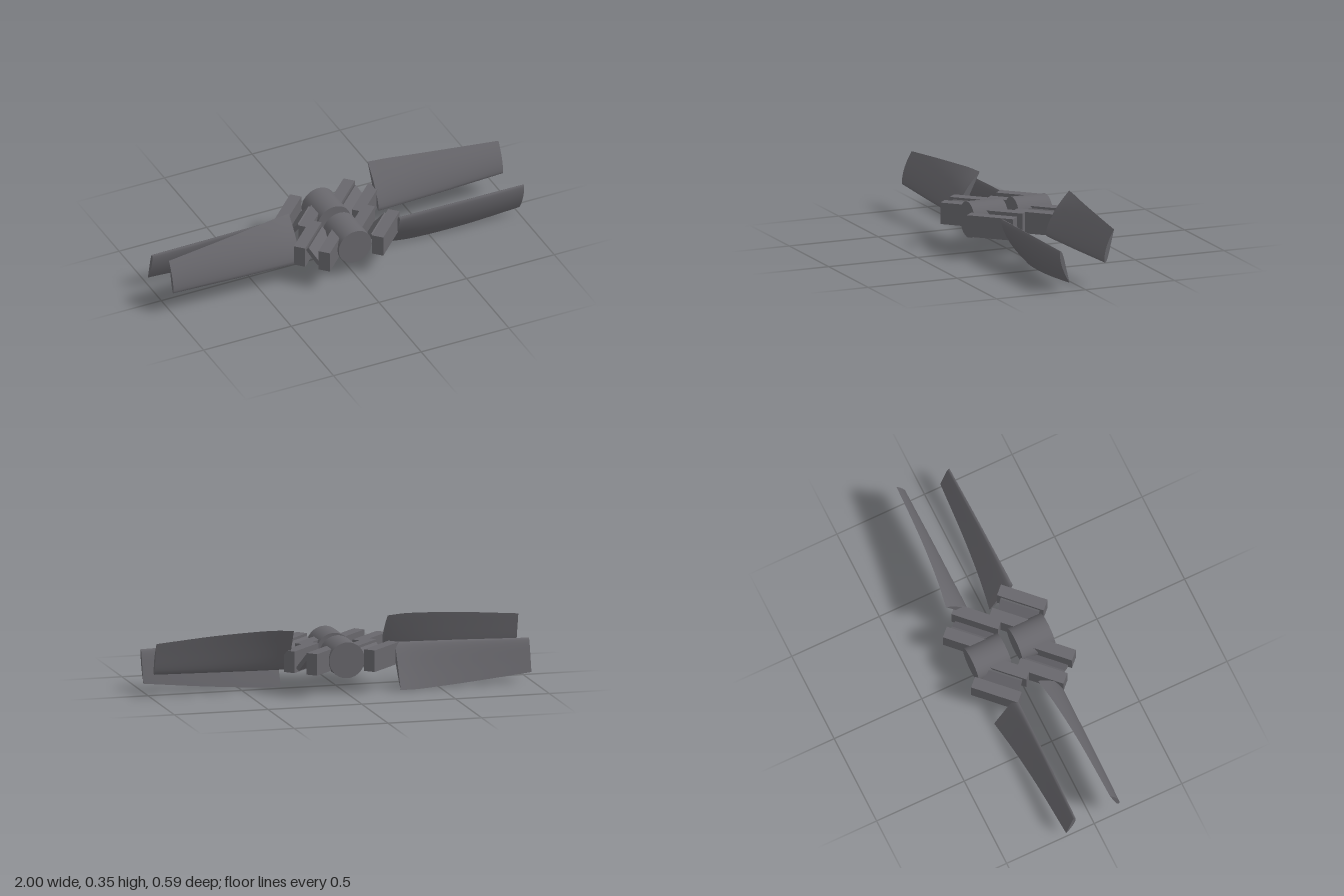
import * as THREE from 'three';
import { toCreasedNormals } from 'three/addons/utils/BufferGeometryUtils.js';

const MID = 0.174; // height of the rotor axis

// Blade stations: x, leading edge z/y, trailing edge z/y, thickness
const STATIONS = [
  [0.285, 0.153, 0.23, 0.025, 0.003, 0.034],
  [0.38, 0.152, 0.229, 0.041, 0.0, 0.032],
  [0.5, 0.15, 0.227, 0.057, 0.005, 0.03],
  [0.7, 0.147, 0.223, 0.075, 0.018, 0.027],
  [1.0, 0.14, 0.216, 0.09, 0.045, 0.022],
];

// Lofted airfoil; sx and sy mirror it left/right and up/down
function bladeGeometry(sx, sy) {
  const curve = (i) => new THREE.CatmullRomCurve3(
    STATIONS.map((s) => new THREE.Vector3(s[0], s[i + 1], s[i])));
  const lead = curve(1), trail = curve(3);
  const rows = 16, n = 24;
  const pos = [], idx = [];
  const flip = sx * sy < 0;
  const tri = (a, b, c) => (flip ? idx.push(a, c, b) : idx.push(a, b, c));
  for (let r = 0; r <= rows; r++) {
    const t = r / rows;
    const a = lead.getPoint(t), b = trail.getPoint(t);
    const thick = THREE.MathUtils.lerp(0.034, 0.022, t);
    const dz = b.z - a.z, dy = b.y - a.y, len = Math.hypot(dz, dy);
    for (let i = 0; i < n; i++) {
      const ang = (i / n) * Math.PI * 2;
      const u = (1 - Math.cos(ang)) / 2;
      // rounded nose, sharp tail, light camber
      const h = Math.sign(Math.sin(ang)) * thick * 1.3 * Math.sqrt(u) * (1 - u)
        + 0.03 * len * Math.sin(Math.PI * u);
      pos.push(sx * a.x, sy * (a.y + dy * u + (dz / len) * h - MID),
        a.z + dz * u - (dy / len) * h);
    }
  }
  for (let r = 0; r < rows; r++) {
    for (let i = 0; i < n; i++) {
      const j = (i + 1) % n, p = r * n, q = p + n;
      tri(p + i, p + j, q + i);
      tri(p + j, q + j, q + i);
    }
  }
  // root and tip caps
  const last = rows * n;
  for (let i = 1; i < n - 1; i++) {
    tri(0, i + 1, i);
    tri(last, last + i, last + i + 1);
  }
  const g = new THREE.BufferGeometry();
  g.setAttribute('position', new THREE.Float32BufferAttribute(pos, 3));
  g.setIndex(idx);
  return toCreasedNormals(g, 0.8);
}

export function createModel() {
  const model = new THREE.Group();
  model.name = 'twinPropeller';
  const grey = new THREE.MeshStandardMaterial({ color: 0x68676c, side: THREE.DoubleSide });
  grey.name = 'dark grey';

  const add = (parent, name, geometry, x, y, z) => {
    const mesh = new THREE.Mesh(geometry, grey);
    mesh.name = name;
    mesh.position.set(x, y, z);
    parent.add(mesh);
    return mesh;
  };

  const hubGeo = new THREE.CylinderGeometry(0.094, 0.094, 0.19, 40).rotateX(Math.PI / 2);
  const plateGeo = new THREE.BoxGeometry(0.254, 0.113, 0.062);
  const shankGeo = new THREE.BoxGeometry(0.21, 0.022, 0.105);

  for (const front of [1, -1]) {
    const end = front > 0 ? 'front' : 'back';
    add(model, end + 'Hub', hubGeo, 0, MID, front * 0.125);

    for (const side of [1, -1]) {
      const name = end + (side > 0 ? 'Left' : 'Right');

      // Forked arm: two parallel plates set at 45 degrees with a pitched shank between
      const arm = new THREE.Group();
      arm.name = name + 'Arm';
      const same = front === side;
      const cx = same ? 0.1505 : 0.1595, cz = same ? 0.1225 : 0.1335;
      arm.position.set(side * cx, MID, front * cz);
      arm.rotation.y = Math.PI / 4;
      for (const s of [1, -1]) add(arm, 'forkPlate', plateGeo, 0, 0, s * 0.067);
      add(arm, 'bladeShank', shankGeo, 0, 0, 0).rotation.x = -0.9 * front * side;
      model.add(arm);

      // Blades pitch opposite ways on each side and on each rotor
      add(model, name + 'Blade', bladeGeometry(side, front * side),
        0, MID, front > 0 ? 0 : -0.25);
    }
  }
  return model;
}
